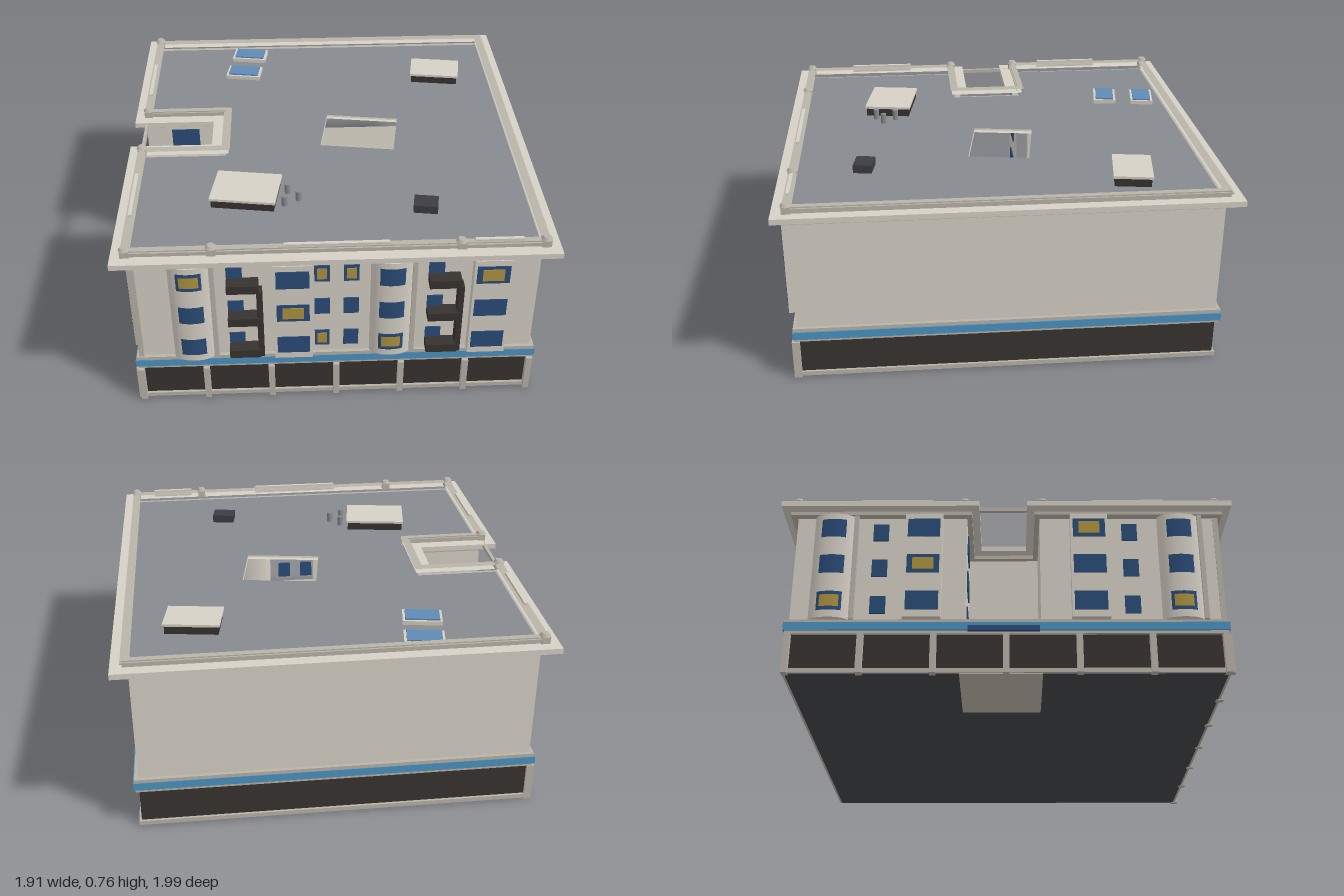
import * as THREE from 'three';

const mat = (color, side = THREE.FrontSide) => new THREE.MeshStandardMaterial({ color, side });
const M = {
  wall: mat(0xd6d0c5), trim: mat(0xb9b4a9), tan: mat(0xbfb5a5), dark: mat(0x37332f), floor: mat(0x444648),
  band: mat(0x4c93c2), roof: mat(0x868b90), glass: mat(0x2a4c78), glassCurved: mat(0x2a4c78, THREE.DoubleSide),
  gold: mat(0xb09440), goldCurved: mat(0xb09440, THREE.DoubleSide), sky: mat(0x5f8ab5), unit: mat(0x3c3c42),
};
const TURN = 0.152; // the block stands at an angle to the axes
const ROWS = [0.29, 0.45, 0.61];

function add(parent, name, geometry, material, x = 0, y = 0, z = 0) {
  const mesh = new THREE.Mesh(geometry, material);
  mesh.name = name;
  mesh.position.set(x, y, z);
  parent.add(mesh);
  return mesh;
}
const box = (parent, name, material, w, h, d, x, y, z) =>
  add(parent, name, new THREE.BoxGeometry(w, h, d), material, x, y, z);

// Plan with the courtyard notch in the left side; grow pushes material into the notch
function outline(a, b, grow = 0) {
  const u = -0.44 - grow, v0 = -0.155 + grow, v1 = 0.13 - grow;
  return [[-a, -b], [a, -b], [a, b], [-a, b], [-a, v1], [u, v1], [u, v0], [-a, v0]]
    .map(([x, z]) => new THREE.Vector2(x, -z));
}

// Light well corners, square to the world axes
const well = [[-0.02, -0.17], [0.29, -0.17], [0.29, 0.08], [-0.02, 0.08]].map(([x, z]) => {
  const c = Math.cos(TURN), s = Math.sin(TURN);
  return new THREE.Vector2(x * c - z * s, -(x * s + z * c));
});

function slab(parent, name, material, points, y0, y1, hole) {
  const shape = new THREE.Shape(points);
  if (hole) shape.holes.push(new THREE.Path(hole));
  const geo = new THREE.ExtrudeGeometry(shape, { depth: y1 - y0, bevelEnabled: false });
  geo.rotateX(-Math.PI / 2);
  return add(parent, name, geo, material, 0, y0, 0);
}

// Facade pieces below are placed on a wall whose outer face is z = 0
function flatWindow(wall, x, y, z, w, h, lit) {
  box(wall, 'window', M.glass, w, h, 0.008, x, y, z);
  if (lit) box(wall, 'litPane', M.gold, w * 0.65, h * 0.65, 0.008, x, y, z + 0.003);
}

function boxBay(wall, x, lit) {
  box(wall, 'squareBay', M.wall, 0.145, 0.455, 0.04, x, 0.4475, 0.018);
  ROWS.forEach((y, i) => flatWindow(wall, x, y, 0.037, 0.125, 0.08, i === lit));
}

function roundBay(wall, x, lit) {
  const bay = new THREE.Group();
  bay.name = 'roundBay';
  bay.position.x = x;
  bay.scale.z = 0.5;
  wall.add(bay);
  add(bay, 'bayWall', new THREE.CylinderGeometry(0.08, 0.08, 0.455, 40), M.wall, 0, 0.4475, 0);
  const pane = (r, h, half) => new THREE.CylinderGeometry(r, r, h, 16, 1, true, -half, 2 * half);
  ROWS.forEach((y, i) => {
    add(bay, 'curvedWindow', pane(0.082, 0.08, 0.62), M.glassCurved, 0, y, 0);
    if (i === lit) add(bay, 'curvedLitPane', pane(0.0845, 0.05, 0.45), M.goldCurved, 0, y, 0);
  });
  box(wall, 'bayPilaster', M.trim, 0.018, 0.455, 0.03, x + 0.084, 0.4475, 0.01);
}

function balcony(wall, x) {
  for (const y of ROWS) {
    flatWindow(wall, x - 0.03, y, 0.001, 0.06, 0.075, false);
    box(wall, 'balconyTray', M.dark, 0.12, 0.037, 0.055, x, y - 0.03, 0.027);
  }
  box(wall, 'balconyPost', M.dark, 0.022, 0.32, 0.045, x + 0.062, 0.4, 0.025);
}

function facade(parent, name, x, z, turn) {
  const wall = new THREE.Group();
  wall.name = name;
  wall.position.set(x, 0, z);
  wall.rotation.y = turn;
  parent.add(wall);
  return wall;
}

export function createModel() {
  const model = new THREE.Group();
  model.name = 'cornerBuilding';
  const block = new THREE.Group();
  block.name = 'block';
  block.rotation.y = TURN;
  model.add(block);

  // Ground floor, plinth and band
  box(block, 'shopfront', M.dark, 1.53, 0.164, 1.64, 0, 0.088, 0);
  box(block, 'plinth', M.trim, 1.55, 0.018, 1.66, 0, 0.013, 0);
  box(block, 'underside', M.floor, 1.53, 0.004, 1.64, 0, 0.004, 0);
  box(block, 'entranceFloor', M.tan, 0.37, 0.004, 0.31, -0.585, 0.002, -0.02);
  box(block, 'lowerLedge', M.trim, 1.555, 0.012, 1.665, 0, 0.169, 0);
  box(block, 'blueBand', M.band, 1.57, 0.032, 1.675, 0, 0.191, 0);
  box(block, 'upperLedge', M.trim, 1.56, 0.015, 1.67, 0, 0.214, 0);
  box(block, 'entrancePanel', M.glass, 0.012, 0.022, 0.27, -0.782, 0.182, -0.01);
  for (let i = -3; i <= 3; i++) {
    box(block, 'frontPillar', M.trim, 0.024, 0.16, 0.03, i * 0.256, 0.08, 0.828);
    box(block, 'sidePillar', M.trim, 0.03, 0.16, 0.024, -0.773, 0.08, i * 0.273);
  }

  // Upper walls with courtyard and light well
  slab(block, 'upperWalls', M.wall, outline(0.765, 0.82), 0.22, 0.68, well);
  box(block, 'courtyardFloor', M.tan, 0.33, 0.006, 0.28, -0.605, 0.222, -0.012);
  slab(block, 'lightWellFloor', M.wall, well, 0.22, 0.226);
  const notchSide = facade(block, 'courtyardBackWall', -0.6, -0.155, 0);
  for (const y of ROWS) flatWindow(notchSide, -0.02, y, 0.001, 0.12, 0.08, false);

  // Front facade
  const front = facade(block, 'frontFacade', 0, 0.82, 0);
  roundBay(front, -0.55, 2);
  boxBay(front, -0.166, 1);
  roundBay(front, 0.208, 0);
  boxBay(front, 0.583, 2);
  balcony(front, -0.353);
  balcony(front, 0.405);
  ROWS.forEach((y, i) => {
    flatWindow(front, -0.055, y, 0.001, 0.058, 0.075, i !== 1);
    flatWindow(front, 0.056, y, 0.001, 0.058, 0.075, i === 2);
  });
  box(front, 'cornerPilaster', M.trim, 0.02, 0.455, 0.02, -0.76, 0.4475, 0);

  // Left-hand street facade
  const side = facade(block, 'sideFacade', -0.765, 0, -Math.PI / 2);
  roundBay(side, -0.67, 0);
  boxBay(side, -0.32, 1);
  boxBay(side, 0.32, 2);
  roundBay(side, 0.67, 0);
  for (const x of [-0.49, 0.48]) {
    for (const y of ROWS) flatWindow(side, x, y, 0.001, 0.06, 0.075, false);
  }

  // Cornice, roof deck and parapet
  slab(block, 'lowerCornice', M.trim, outline(0.795, 0.845, 0.02), 0.675, 0.69, well);
  slab(block, 'roofDeck', M.roof, outline(0.765, 0.81, -0.01), 0.685, 0.698, well);
  slab(block, 'cornice', M.wall, outline(0.83, 0.878, 0.05), 0.694, 0.716, outline(0.762, 0.807, -0.022));
  slab(block, 'parapet', M.trim, outline(0.785, 0.83, 0), 0.714, 0.742, outline(0.76, 0.805, -0.025));
  slab(block, 'parapetCap', M.trim, outline(0.792, 0.837, 0.006), 0.73, 0.737, outline(0.757, 0.802, -0.028));
  box(block, 'courtyardRail', M.trim, 0.014, 0.016, 0.29, -0.778, 0.708, -0.012);

  // Raised parapet panels and post caps
  for (const [x, w] of [[0, 0.39], [0.6, 0.18]])
    box(block, 'frontParapetPanel', M.wall, w, 0.03, 0.014, x, 0.738, 0.82);
  for (const z of [-0.43, 0.48])
    box(block, 'sideParapetPanel', M.wall, 0.014, 0.03, 0.28, -0.775, 0.738, z);
  for (const [x, z] of [[-0.775, -0.82], [-0.775, -0.165], [-0.775, 0.14], [-0.775, 0.82],
    [-0.46, 0.82], [0.46, 0.82], [0.775, 0.82]]) {
    box(block, 'parapetPost', M.trim, 0.034, 0.03, 0.034, x, 0.73, z);
    add(block, 'postCap', new THREE.CylinderGeometry(0.014, 0.022, 0.012, 12), M.trim, x, 0.75, z);
  }

  // Rooftop equipment, square to the world axes
  for (const [x, z, w, d] of [[-0.27, 0.48, 0.26, 0.2], [0.44, -0.58, 0.22, 0.155]]) {
    box(model, 'roofHouse', M.dark, w - 0.012, 0.04, d - 0.012, x, 0.713, z);
    box(model, 'roofHouseTop', M.wall, w, 0.01, d, x, 0.737, z);
  }
  for (const z of [-0.665, -0.495]) {
    box(model, 'skylightFrame', M.wall, 0.155, 0.02, 0.1, -0.445, 0.705, z);
    box(model, 'skylightGlass', M.sky, 0.135, 0.012, 0.08, -0.445, 0.715, z);
  }
  box(model, 'ventUnit', M.unit, 0.095, 0.035, 0.075, 0.44, 0.714, 0.485);
  for (const [x, z] of [[-0.11, 0.44], [-0.06, 0.485], [-0.11, 0.525]])
    add(model, 'ventPipe', new THREE.CylinderGeometry(0.012, 0.012, 0.045, 12), M.roof, x, 0.718, z);

  return model;
}
